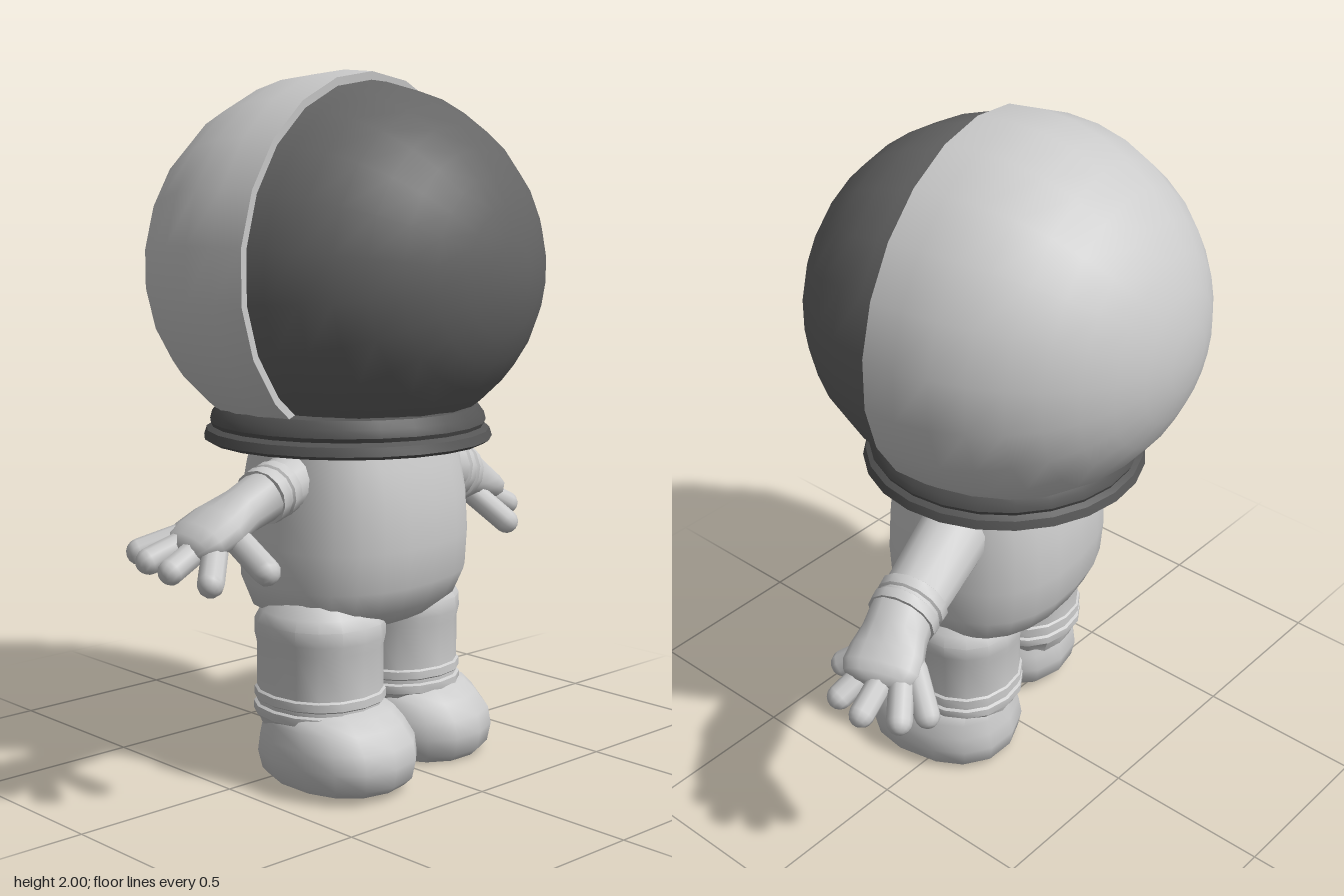
import * as THREE from 'three';
import { toCreasedNormals } from 'three/addons/utils/BufferGeometryUtils.js';

const suit = new THREE.MeshStandardMaterial({ color: 0xcccccc });
const glass = new THREE.MeshStandardMaterial({ color: 0x666666 });
const rubber = new THREE.MeshStandardMaterial({ color: 0x555555 });
const YAW = 0.16; // the whole figure is turned slightly to its left

const V = (a) => new THREE.Vector3(...a);

function part(name, geometry, material = suit) {
  const mesh = new THREE.Mesh(geometry, material);
  mesh.name = name;
  return mesh;
}

// Skin over rings [y, rx, rz, zShift], bottom to top; power > 2 squares them off
function loft(rings, sides = 16, power = 2, crease = 0.8) {
  const pos = [], index = [];
  const se = (v) => Math.sign(v) * Math.abs(v) ** (2 / power);
  rings.forEach(([y, rx, rz, dz = 0], j) => {
    for (let i = 0; i < sides; i++) {
      const a = (i / sides) * Math.PI * 2;
      pos.push(rx * se(Math.sin(a)), y, rz * se(Math.cos(a)) + dz);
      if (j === rings.length - 1) continue;
      const p = j * sides + i, q = j * sides + ((i + 1) % sides);
      index.push(p, q, p + sides, q, q + sides, p + sides);
    }
  });
  const g = new THREE.BufferGeometry();
  g.setAttribute('position', new THREE.Float32BufferAttribute(pos, 3));
  g.setIndex(index);
  return toCreasedNormals(g, crease);
}

// Point a mesh's +y from a to b, keeping its z (thickness) as upright as possible
function aim(mesh, a, b) {
  const y = V(b).sub(V(a)).normalize();
  const x = new THREE.Vector3().crossVectors(y, new THREE.Vector3(0, 1, 0)).normalize();
  const z = new THREE.Vector3().crossVectors(x, y);
  mesh.quaternion.setFromRotationMatrix(new THREE.Matrix4().makeBasis(x, y, z));
  mesh.position.copy(V(a));
  return mesh;
}

function finger(name, a, b, r) {
  const len = V(a).distanceTo(V(b));
  const g = new THREE.CapsuleGeometry(r, len, 4, 10).translate(0, len / 2, 0);
  return aim(part(name, g), a, b);
}

function helmet() {
  const group = new THREE.Group();
  group.name = 'helmet';
  const arc = (r, from, to, shift, n) => Array.from({ length: n + 1 }, (_, i) => {
    const t = from + ((to - from) * i) / n;
    return new THREE.Vector2(Math.max(0, r * Math.sin(t)), shift + r * Math.cos(t));
  });
  // Turn the lathe axis forward and flatten the lower half a little
  const dome = (points) => {
    const g = new THREE.LatheGeometry(points, 22).rotateX(Math.PI / 2);
    const p = g.attributes.position;
    for (let i = 0; i < p.count; i++) {
      const y = p.getY(i);
      p.setXYZ(i, p.getX(i) * 0.575, y * (y < 0 ? 0.53 : 0.555), p.getZ(i) * 0.575);
    }
    return toCreasedNormals(g, 0.7);
  };
  const shell = arc(1, Math.PI, 1.41, 0, 10);
  shell.push(new THREE.Vector2(0.94, 0.155), new THREE.Vector2(0.93, 0.05));
  group.add(part('helmetShell', dome(shell)));
  group.add(part('visor', dome(arc(0.955, 1.52, 0, 0.04, 9)), glass));
  group.position.set(-0.05, 1.447, 0);
  group.rotation.y = YAW;
  return group;
}

function collar() {
  const profile = [[0.27, 0.97], [0.4, 0.955], [0.416, 0.965], [0.408, 0.99], [0.392, 1.0],
    [0.398, 1.012], [0.392, 1.035], [0.375, 1.058], [0.35, 1.065], [0.3, 1.06]];
  const g = new THREE.LatheGeometry(profile.map((p) => new THREE.Vector2(...p)), 24);
  const mesh = part('collar', toCreasedNormals(g, 0.6), rubber);
  mesh.position.set(-0.055, 0, 0.01);
  return mesh;
}

function torso() {
  const mesh = part('torso', loft([
    [0.412, 0, 0], [0.42, 0.12, 0.1], [0.45, 0.24, 0.19], [0.5, 0.325, 0.25], [0.57, 0.346, 0.282],
    [0.68, 0.345, 0.293], [0.8, 0.337, 0.288], [0.9, 0.325, 0.268], [1.0, 0.31, 0.24], [1.0, 0, 0],
  ], 24, 2.4));
  mesh.position.set(-0.047, 0, 0.03);
  mesh.rotation.y = YAW;
  return mesh;
}

function leg(side, x, z, bootX, bootZ, lift) {
  const group = new THREE.Group();
  group.name = side + 'Leg';
  // Trouser leg with a loose fold on top and two bands above the boot
  const trouser = part('trouserLeg', loft([
    [0.15, 0.15, 0.16], [0.2, 0.172, 0.18], [0.205, 0.178, 0.188], [0.228, 0.178, 0.188],
    [0.233, 0.17, 0.18], [0.243, 0.17, 0.18], [0.248, 0.177, 0.187], [0.27, 0.176, 0.186],
    [0.275, 0.169, 0.18], [0.4, 0.168, 0.181], [0.43, 0.174, 0.188], [0.47, 0.175, 0.186],
    [0.5, 0.16, 0.17], [0.54, 0.12, 0.13], [0.54, 0, 0],
  ], 16, 2.2, 0.6));
  trouser.position.set(x, 0, z);
  const boot = part('boot', loft([
    [0, 0, 0], [0, 0.165, 0.205], [0.022, 0.185, 0.228], [0.075, 0.198, 0.238], [0.125, 0.195, 0.228],
    [0.17, 0.182, 0.202, -0.015], [0.2, 0.168, 0.18, -0.03], [0.222, 0.13, 0.14, -0.04], [0.222, 0, 0, -0.04],
  ], 14, 2.3));
  boot.position.set(bootX, lift, bootZ);
  boot.rotation.y = YAW + (x > 0 ? 0.05 : -0.15);
  group.add(trouser, boot);
  return group;
}

function arm(side, shoulder, wrist, knuckles, r, fingers) {
  const group = new THREE.Group();
  group.name = side + 'Arm';
  // Sleeve ends in a double cuff
  const len = V(shoulder).distanceTo(V(wrist));
  const sleeve = loft([
    [0, 0, 0], [0, r * 1.05, r * 1.05], [len - 0.085, r * 0.95, r * 0.9], [len - 0.08, r * 1.03, r * 0.98],
    [len - 0.05, r * 1.02, r * 0.97], [len - 0.045, r * 0.95, r * 0.9], [len - 0.035, r * 0.95, r * 0.9],
    [len - 0.03, r * 1.03, r * 0.98], [len, r, r * 0.95], [len, 0, 0],
  ], 14, 2, 0.6);
  group.add(aim(part('sleeve', sleeve), shoulder, wrist));
  // Glove: flared at the wrist, flat and wide at the knuckles
  const h = V(wrist).distanceTo(V(knuckles));
  const palm = loft([
    [-0.02, 0, 0], [-0.02, r * 0.9, r * 0.85], [h * 0.25, r * 0.92, r * 0.75], [h * 0.55, 0.108, 0.06],
    [h * 0.8, 0.112, 0.052], [h * 0.95, 0.1, 0.042], [h * 1.04, 0.06, 0.025], [h * 1.06, 0, 0],
  ], 14, 2.2, 1.2);
  group.add(aim(part('glove', palm), wrist, knuckles));
  fingers.forEach(([a, b], i) => group.add(finger(i ? 'finger' : 'thumb', a, b, i ? 0.036 : 0.038)));
  return group;
}

export function createModel() {
  const model = new THREE.Group();
  model.name = 'astronaut';
  model.add(helmet(), collar(), torso());
  model.add(leg('left', 0.14, 0.015, 0.165, 0.06, 0.004));
  model.add(leg('right', -0.242, 0.095, -0.236, 0.16, 0.022));
  model.add(arm('left', [0.18, 0.87, -0.04], [0.55, 0.765, -0.135], [0.72, 0.685, -0.2], 0.102, [
    [[0.6, 0.7, -0.12], [0.655, 0.607, -0.01]],
    [[0.67, 0.695, -0.15], [0.785, 0.635, -0.125]],
    [[0.68, 0.695, -0.2], [0.803, 0.64, -0.225]],
    [[0.66, 0.695, -0.24], [0.755, 0.635, -0.318]],
    [[0.62, 0.695, -0.25], [0.683, 0.63, -0.352]],
  ]));
  model.add(arm('right', [-0.27, 0.89, 0.07], [-0.48, 0.848, 0.12], [-0.73, 0.74, 0.1], 0.082, [
    [[-0.6, 0.755, 0.17], [-0.612, 0.695, 0.298]],
    [[-0.67, 0.74, 0.16], [-0.758, 0.677, 0.25]],
    [[-0.69, 0.75, 0.13], [-0.802, 0.7, 0.143]],
    [[-0.69, 0.757, 0.08], [-0.81, 0.715, 0.058]],
    [[-0.68, 0.762, 0.04], [-0.785, 0.725, -0.015]],
  ]));
  return model;
}
